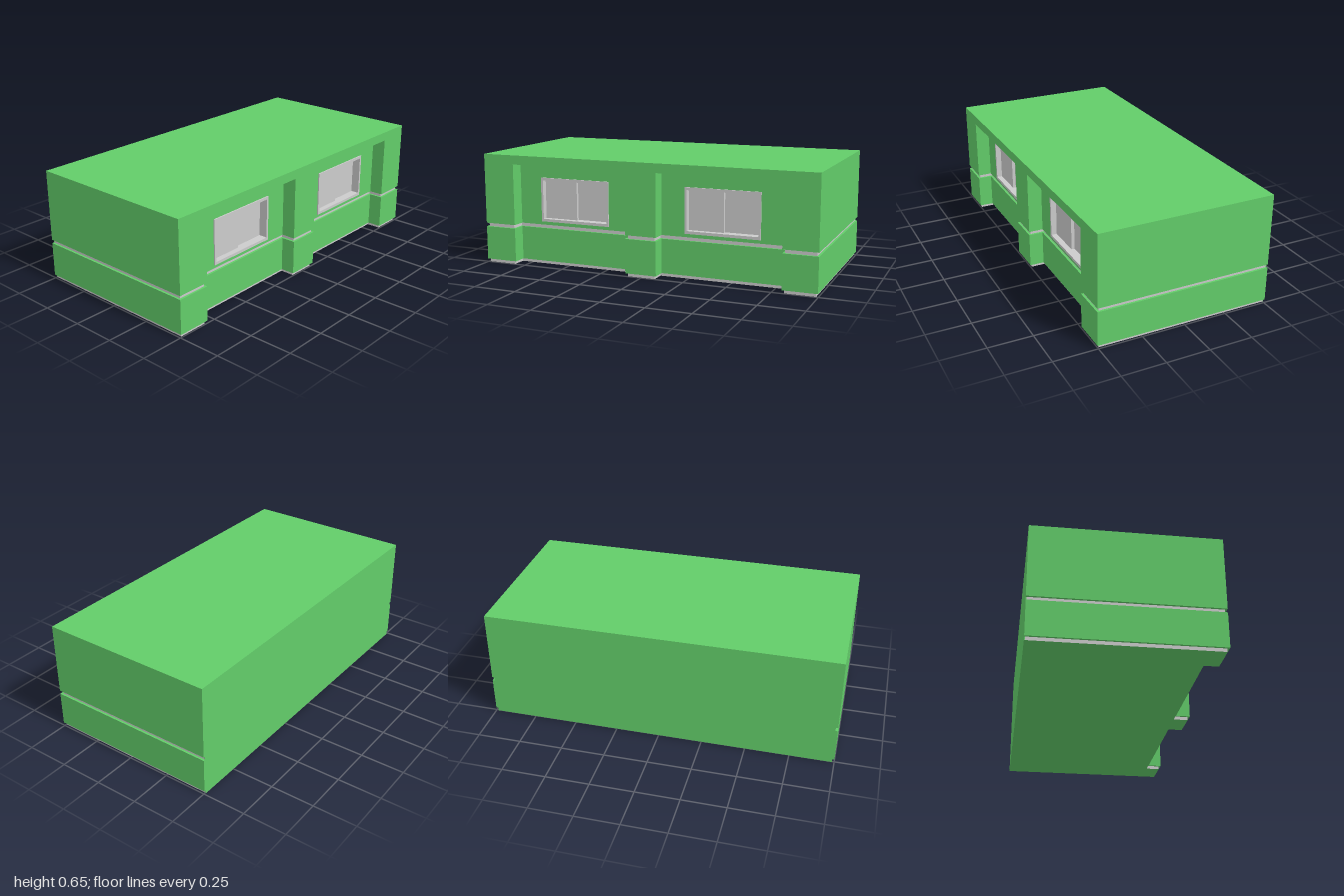
import * as THREE from 'three';

const green = new THREE.MeshStandardMaterial({ color: 0x62cc69, flatShading: true });
const grey = new THREE.MeshStandardMaterial({ color: 0xcccccc, flatShading: true });

const HALF_X = 0.505, HALF_Z = 1, INSET = 0.012;
const BAY_IN = 0.093, BAY_OUT = 0.806, BAY_Z = (BAY_IN + BAY_OUT) / 2;
const BAY_X = 0.423, CORE_X = 0.36;

// Plan of the building with two bays cut into the +x side
function plan(back, inset, bayX) {
  const x = HALF_X - inset, z = HALF_Z - inset;
  const a = BAY_IN - inset, b = BAY_OUT + inset;
  return new THREE.Shape([
    [back, -z], [x, -z], [x, -b], [bayX, -b], [bayX, -a], [x, -a],
    [x, a], [bayX, a], [bayX, b], [x, b], [x, z], [back, z],
  ].map(([px, py]) => new THREE.Vector2(px, py)));
}

function rect(w, y0, y1, Type = THREE.Shape) {
  return new Type([[-w, y0], [w, y0], [w, y1], [-w, y1]].map(([x, y]) => new THREE.Vector2(x, y)));
}

function add(group, name, geometry, material) {
  const mesh = new THREE.Mesh(geometry, material);
  mesh.name = name;
  group.add(mesh);
  return mesh;
}

// Horizontal storey layer between two heights
function layer(group, name, shape, y0, y1, material) {
  const g = new THREE.ExtrudeGeometry(shape, { depth: y1 - y0, bevelEnabled: false });
  g.rotateX(-Math.PI / 2).translate(0, y0, 0);
  return add(group, name, g, material);
}

// Upright panel facing +x, between two depths
function panel(group, name, shape, x0, x1, material) {
  const g = new THREE.ExtrudeGeometry(shape, { depth: x1 - x0, bevelEnabled: false });
  g.rotateY(Math.PI / 2).translate(x0, 0, 0);
  return add(group, name, g, material);
}

function box(group, name, x0, x1, y0, y1, z0, z1, material) {
  const g = new THREE.BoxGeometry(x1 - x0, y1 - y0, z1 - z0);
  g.translate((x0 + x1) / 2, (y0 + y1) / 2, (z0 + z1) / 2);
  return add(group, name, g, material);
}

// Wall at the back of a bay, with a framed sliding window
function windowBay(z) {
  const bay = new THREE.Group();
  bay.name = 'windowBay';
  bay.position.z = z;

  const wall = rect((BAY_OUT - BAY_IN) / 2, 0.237, 0.595);
  wall.holes.push(rect(0.217, 0.257, 0.516, THREE.Path));
  panel(bay, 'bayWall', wall, CORE_X, BAY_X, green);

  const frame = rect(0.217, 0.257, 0.516);
  frame.holes.push(rect(0.204, 0.273, 0.5, THREE.Path));
  panel(bay, 'windowFrame', frame, CORE_X, BAY_X + 0.007, grey);

  // Two sashes, one sliding in front of the other
  box(bay, 'frontSash', CORE_X, BAY_X - 0.025, 0.273, 0.5, 0, 0.204, grey);
  box(bay, 'rearSash', CORE_X, BAY_X - 0.043, 0.273, 0.5, -0.204, 0, grey);
  return bay;
}

export function createModel() {
  const model = new THREE.Group();
  model.name = 'building';

  // Grey recessed bands: base and sill course
  const back = -HALF_X + 0.004;
  for (const [name, y0, y1] of [['base', 0, 0.019], ['sillBand', 0.216, 0.237]]) {
    layer(model, name, plan(back, INSET, BAY_X - INSET), y0, y1, [green, grey]);
    box(model, name + 'BlindWall', -HALF_X, back, y0, y1, -HALF_Z + INSET, HALF_Z - INSET, green);
  }

  // Green wall masses
  layer(model, 'lowerWall', plan(-HALF_X, 0, BAY_X), 0.019, 0.216, green);
  layer(model, 'upperWall', plan(-HALF_X, 0, CORE_X), 0.237, 0.595, green);
  box(model, 'roof', -HALF_X, HALF_X, 0.595, 0.648, -HALF_Z, HALF_Z, green);

  for (const side of [1, -1]) model.add(windowBay(side * BAY_Z));
  return model;
}
